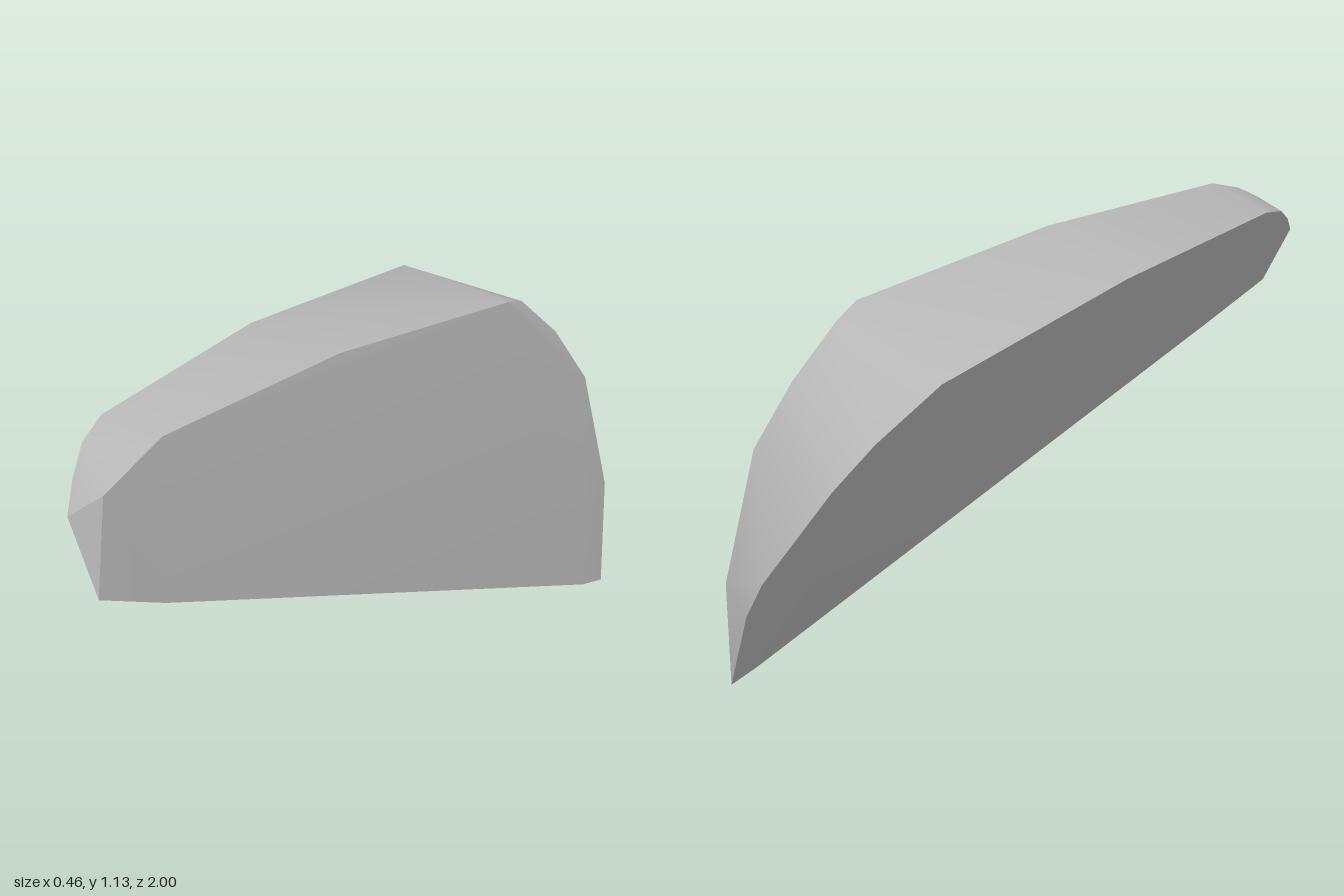
import * as THREE from 'three';
import { ConvexGeometry } from 'three/addons/geometries/ConvexGeometry.js';
import { toCreasedNormals } from 'three/addons/utils/BufferGeometryUtils.js';

export function createModel() {
  const group = new THREE.Group();
  group.name = 'wedge';
  const grey = new THREE.MeshStandardMaterial({ color: 0xb8b8b8 });
  grey.name = 'grey';

  // Sloping cut face: a plane hinged on the lower edge, so x follows from y and z
  const slopeX = (y, z) => 0.23 - 0.513 * (y - 0.35 - 0.359 * z);
  const slopeRim = [
    [0.91, 0.995], [0.98, 0.94], [1.045, 0.87], [1.08, 0.78], [1.11, 0.16], [1.06, -0.52],
    [0.93, -0.71], [0.8, -0.82], [0.5, -0.98], [0.36, -1],
  ].map(([y, z]) => new THREE.Vector3(slopeX(y, z), y, z));

  // Upright side face: outline running from the front tip over the top to the back tip
  const sideRim = [
    [0.222, 0.7, 0.98], [0.222, 0.99, 0.95], [0.205, 1.06, 0.85], [0.224, 1.093, 0.76],
    [0.222, 1.135, 0.15], [0.228, 1.098, -0.49], [0.205, 1.07, -0.57], [0.205, 0.93, -0.72],
    [0.225, 0.75, -0.84], [0.225, 0.35, -0.96], [0.225, 0, -0.97],
  ].map((p) => new THREE.Vector3(...p));

  // Lower sharp edge bows out slightly between the tips
  const lowerEdge = [[0.231, 0.612, 0.77], [0.231, 0.02, -0.88]].map((p) => new THREE.Vector3(...p));

  const hull = new ConvexGeometry([...slopeRim, ...sideRim, ...lowerEdge]);
  const body = new THREE.Mesh(toCreasedNormals(hull, THREE.MathUtils.degToRad(32)), grey);
  body.name = 'wedgeBody';
  group.add(body);
  return group;
}
